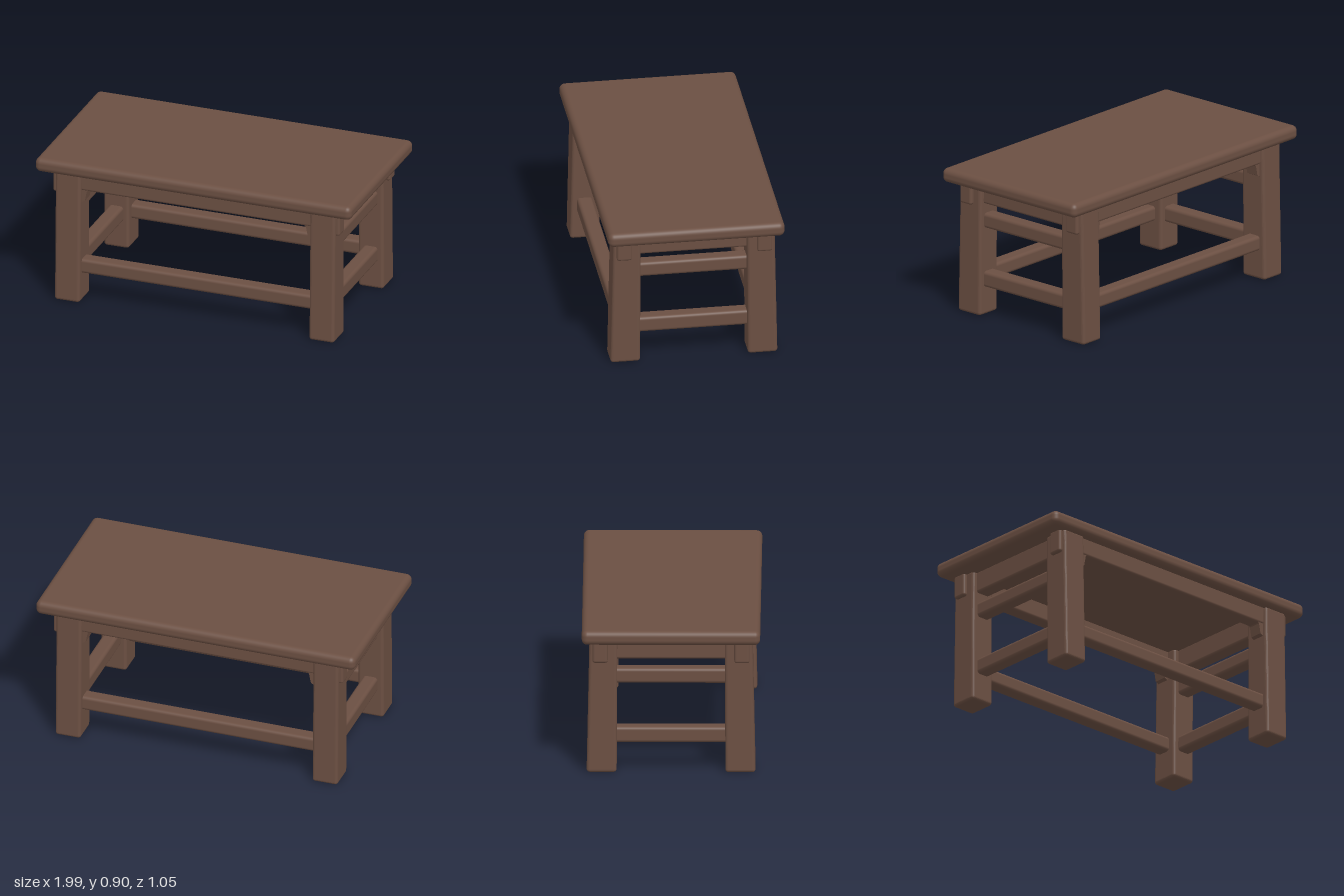
import * as THREE from 'three';
import { RoundedBoxGeometry } from 'three/addons/geometries/RoundedBoxGeometry.js';

export function createModel() {
  const group = new THREE.Group();
  group.name = 'table';
  const wood = new THREE.MeshStandardMaterial({ color: 0x6b4f42 });
  wood.name = 'brown wood';

  // Softened beam spanning the given minimum and maximum on each axis
  function beam(name, [x0, x1], [y0, y1], [z0, z1], radius = 0.015) {
    const geometry = new RoundedBoxGeometry(x1 - x0, y1 - y0, z1 - z0, 4, radius);
    geometry.translate((x0 + x1) / 2, (y0 + y1) / 2, (z0 + z1) / 2);
    const mesh = new THREE.Mesh(geometry, wood);
    mesh.name = name;
    group.add(mesh);
    return mesh;
  }
  // Range mirrored to the chosen side
  const side = (s, a, b) => (s > 0 ? [a, b] : [-b, -a]);

  // Top board with rounded edges
  beam('tableTop', [-0.995, 0.995], [0.818, 0.905], [-0.525, 0.525], 0.034);

  for (const sx of [-1, 1]) {
    const end = sx > 0 ? 'left' : 'right';
    for (const sz of [-1, 1]) {
      // Leg, splayed slightly outward toward the floor
      const leg = beam(end + (sz > 0 ? 'Front' : 'Back') + 'Leg',
        side(sx, 0.722, 0.88), [0, 0.83], side(sz, 0.316, 0.48), 0.018);
      const p = leg.geometry.attributes.position;
      for (let i = 0; i < p.count; i++) {
        const drop = 1 - p.getY(i) / 0.83;
        const outer = (Math.abs(p.getZ(i)) - 0.316) / 0.164;
        p.setZ(i, p.getZ(i) + sz * drop * (0.004 + 0.013 * outer));
      }
      leg.geometry.computeVertexNormals();

      // Tenon end and small inner bracket
      beam('tenon', side(sx, 0.85, 0.903), [0.682, 0.83], side(sz, 0.372, 0.462));
      const shape = new THREE.Shape([[0.74, 0.74], [0.66, 0.74], [0.69, 0.71],
        [0.702, 0.65], [0.74, 0.63]].map(([x, y]) => new THREE.Vector2(sx * x, y)));
      const bracket = new THREE.Mesh(new THREE.ExtrudeGeometry(shape,
        { depth: 0.08, bevelEnabled: false }), wood);
      bracket.name = 'bracket';
      bracket.position.z = sz * 0.417 - 0.04;
      group.add(bracket);
    }

    // End apron, upper rail and lower rail
    beam('endApron', side(sx, 0.755, 0.85), [0.693, 0.83], [-0.34, 0.34]);
    beam('endUpperRail', side(sx, 0.755, 0.845), [0.54, 0.632], [-0.34, 0.34], 0.02);
    beam('endLowerRail', side(sx, 0.755, 0.845), [0.173, 0.27], [-0.34, 0.34], 0.02);
  }

  // Long aprons and stretchers, front and back
  for (const sz of [-1, 1]) {
    beam('longApron', [-0.75, 0.75], [0.715, 0.83], side(sz, 0.372, 0.462));
    beam('longStretcher', [-0.75, 0.75], [0.177, 0.268], side(sz, 0.365, 0.457), 0.02);
  }
  return group;
}
